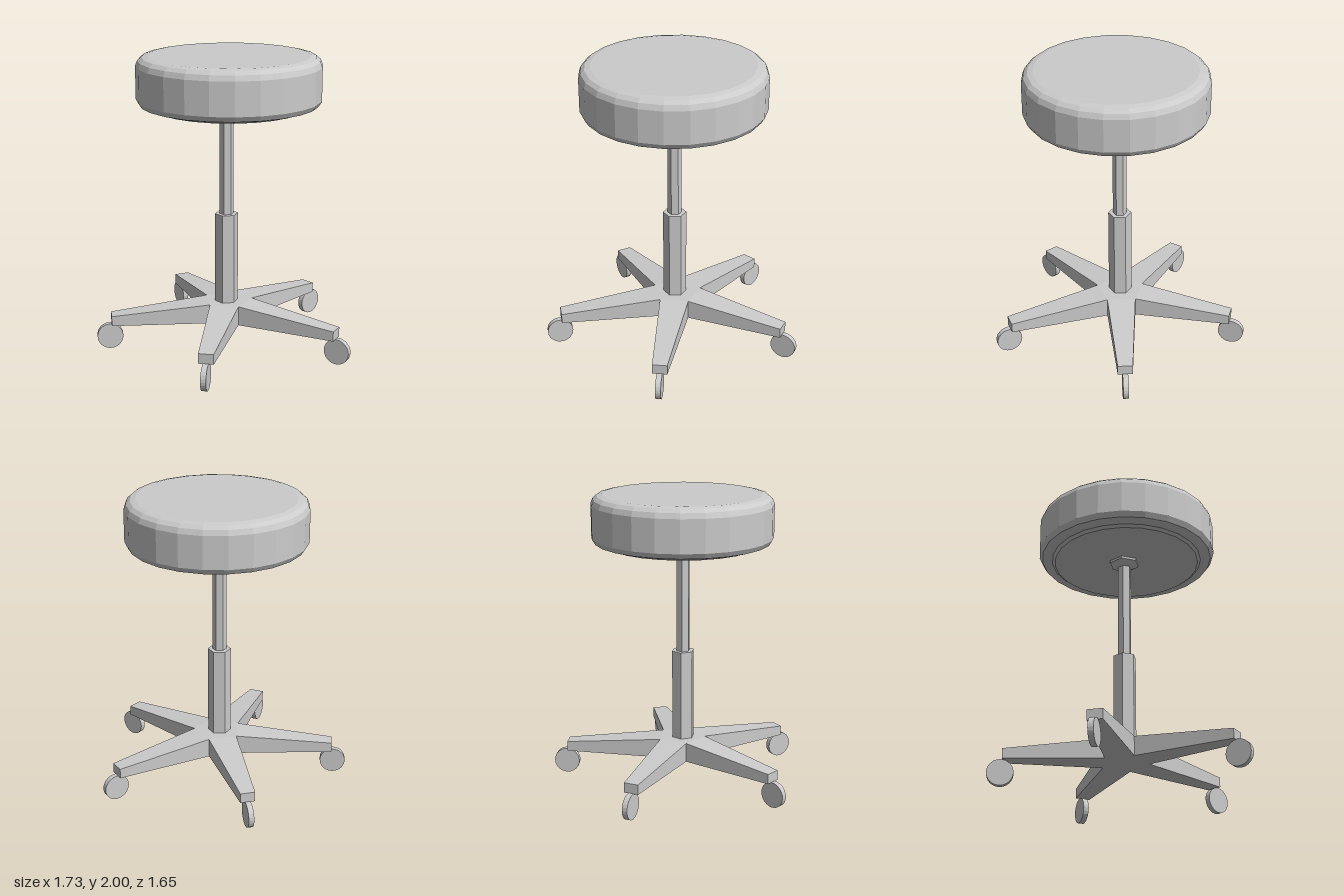
import * as THREE from 'three';

const DEG = Math.PI / 180;

export function createModel() {
  const model = new THREE.Group();
  const material = new THREE.MeshStandardMaterial({ color: 0xcccccc, flatShading: true });

  const add = (name, geometry, x = 0, y = 0, z = 0) => {
    const mesh = new THREE.Mesh(geometry, material);
    mesh.name = name;
    mesh.position.set(x, y, z);
    model.add(mesh);
    return mesh;
  };

  // Padded round seat with rolled edges and a base plate underneath
  const profile = [
    [0, 1.652], [0.5, 1.652], [0.52, 1.668], [0.548, 1.668], [0.59, 1.68], [0.612, 1.715],
    [0.612, 1.935], [0.598, 1.97], [0.572, 1.992], [0.535, 2], [0, 2],
  ].map(([r, y]) => new THREE.Vector2(r, y));
  add('seat', new THREE.LatheGeometry(profile, 24, 7.5 * DEG), 0, 0, 0.086);

  // Six-sided gas lift: sleeve, piston and flared seat mount
  const hexPart = (name, rTop, rBottom, y0, y1) =>
    add(name, new THREE.CylinderGeometry(rTop, rBottom, y1 - y0, 6, 1, false, 15 * DEG),
      -0.012, (y0 + y1) / 2, 0.071);
  hexPart('columnSleeve', 0.079, 0.079, 0.25, 0.926);
  hexPart('columnPiston', 0.047, 0.047, 0.9, 1.62);
  hexPart('mountFlare', 0.104, 0.05, 1.608, 1.636);
  hexPart('mountPlate', 0.104, 0.104, 1.636, 1.66);

  // Five-sided hub
  const hubR = 0.167, hubZ = 0.067, bottom = 0.172, hubTop = 0.305;
  add('hub', new THREE.CylinderGeometry(hubR, hubR, hubTop - bottom, 5),
    0, (hubTop + bottom) / 2, hubZ);

  // Five tapering legs, each carrying a wheel
  const baseZ = 0.08, legEnd = 0.806, legHalf = 0.05, legEndTop = 0.24;
  for (let k = 0; k < 5; k++) {
    const a = (36 + 72 * k) * DEG;
    const leg = new THREE.BoxGeometry(2, 2, 2);
    const p = leg.attributes.position;
    for (let i = 0; i < p.count; i++) {
      const side = p.getX(i), up = p.getY(i) > 0, outer = p.getZ(i) > 0;
      if (outer) {
        p.setXYZ(i,
          Math.sin(a) * legEnd + Math.cos(a) * legHalf * side,
          up ? legEndTop : bottom,
          baseZ + Math.cos(a) * legEnd - Math.sin(a) * legHalf * side);
      } else {
        const corner = a + side * 36 * DEG;
        p.setXYZ(i, Math.sin(corner) * hubR, up ? hubTop : bottom, hubZ + Math.cos(corner) * hubR);
      }
    }
    leg.computeVertexNormals();
    add('leg', leg);

    const wheel = new THREE.CylinderGeometry(0.088, 0.088, 0.037, 24);
    wheel.rotateZ(Math.PI / 2).rotateY(a);
    add('wheel', wheel, Math.sin(a) * 0.816, 0.088, baseZ + Math.cos(a) * 0.816);
  }
  return model;
}
